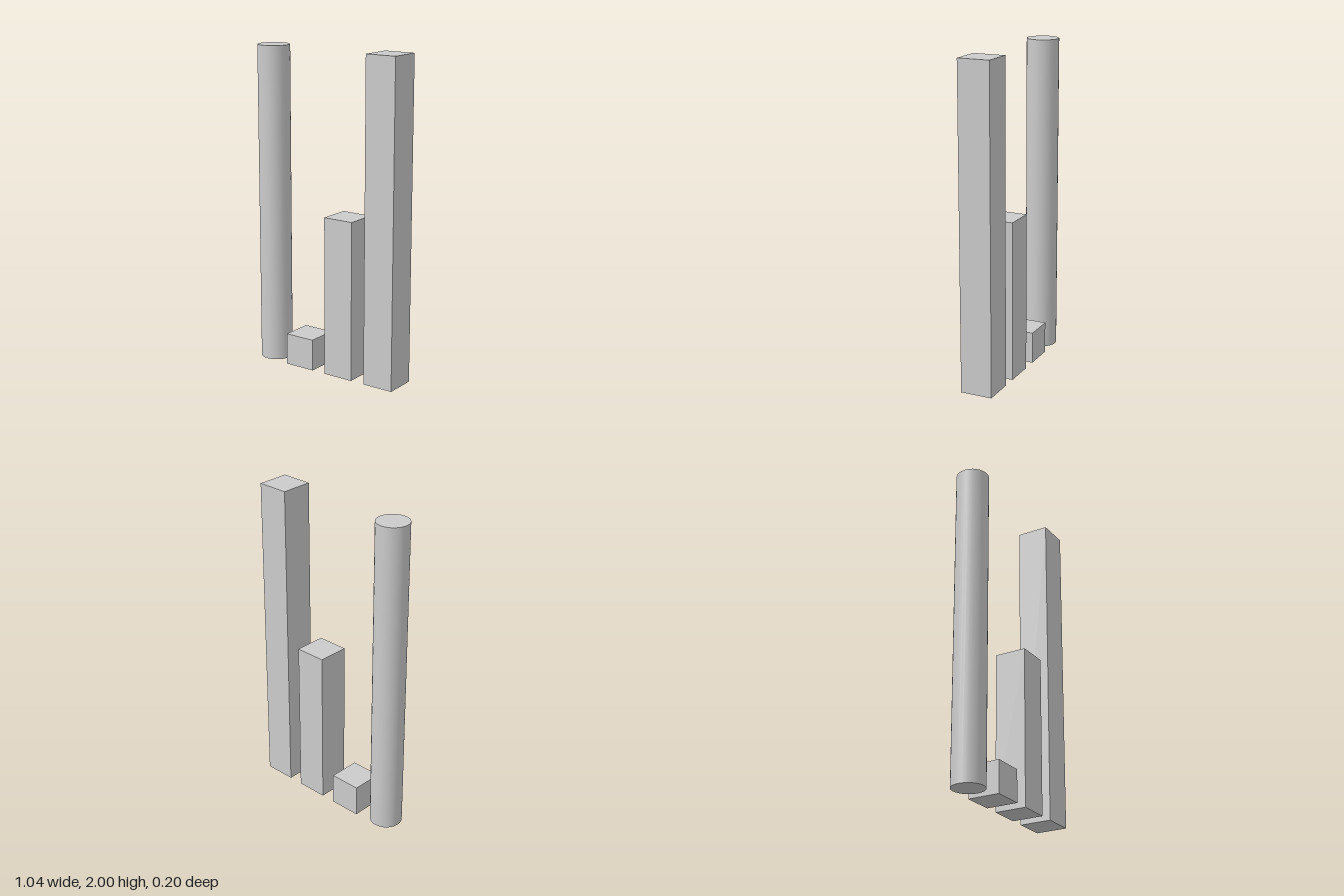
import * as THREE from 'three';

const WIDTH = 0.2;

export function createModel() {
  const group = new THREE.Group();
  const material = new THREE.MeshStandardMaterial({ color: 0xcccccc });

  // Stands a part on the ground at the given x
  const addPart = (name, geometry, x, height) => {
    const mesh = new THREE.Mesh(geometry, material);
    mesh.name = name;
    mesh.position.set(x, height / 2, 0);
    group.add(mesh);
  };

  // Smooth round column
  addPart('roundColumn', new THREE.CylinderGeometry(WIDTH / 2, WIDTH / 2, 2, 32), -0.422, 2);

  // Square blocks of rising height
  const blocks = [
    ['shortBlock', -0.163, 0.2],
    ['mediumBlock', 0.129, 1],
    ['tallBlock', 0.421, 2],
  ];
  for (const [name, x, height] of blocks) {
    addPart(name, new THREE.BoxGeometry(WIDTH, height, WIDTH), x, height);
  }

  return group;
}
